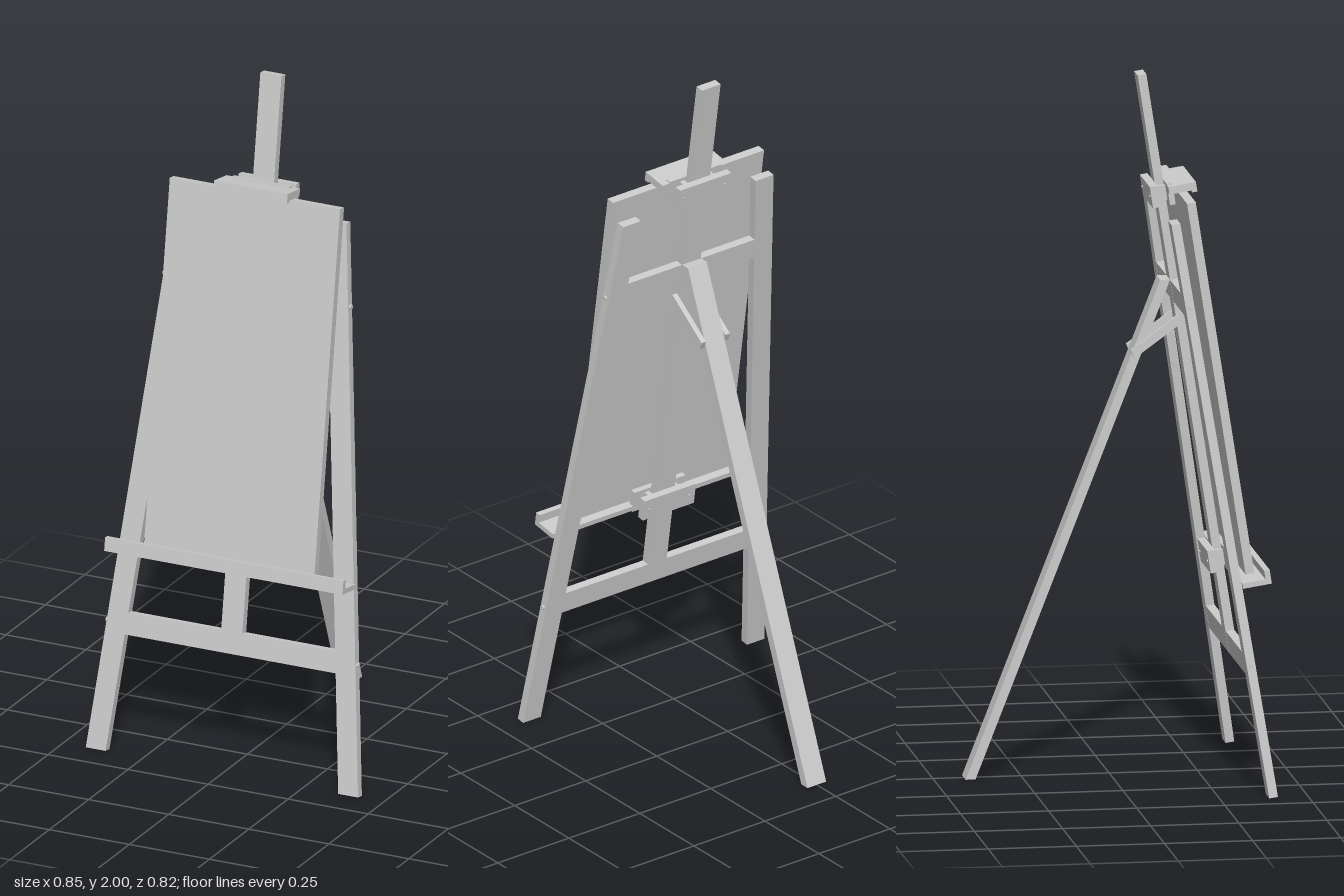
import * as THREE from 'three';

const material = new THREE.MeshStandardMaterial({ color: 0xcccccc, flatShading: true });
const THICK = 0.025; // timber thickness
const TILT = Math.atan(0.156); // backward lean of the front frame

function add(parent, name, geometry, x = 0, y = 0, z = 0) {
  const mesh = new THREE.Mesh(geometry, material);
  mesh.name = name;
  mesh.position.set(x, y, z);
  parent.add(mesh);
  return mesh;
}

// Box given by its extents along each axis
function block(parent, name, [x0, x1], [y0, y1], [z0, z1]) {
  return add(parent, name, new THREE.BoxGeometry(x1 - x0, y1 - y0, z1 - z0),
    (x0 + x1) / 2, (y0 + y1) / 2, (z0 + z1) / 2);
}

// Flat outline extruded symmetrically about z = 0
function slab(points, depth) {
  const shape = new THREE.Shape(points.map(([x, y]) => new THREE.Vector2(x, y)));
  return new THREE.ExtrudeGeometry(shape, { depth, bevelEnabled: false }).translate(0, 0, -depth / 2);
}

// Side outline given as [z, y], extruded along x
function sideSlab(points, width) {
  return slab(points.map(([z, y]) => [-z, y]), width).rotateY(Math.PI / 2);
}

// Sliding clamp that grips the mast between two plates
function mastClamp(parent, name, y0, y1) {
  const clamp = new THREE.Group();
  clamp.name = name;
  block(clamp, 'clampBackPlate', [-0.09, 0.09], [y0, y1], [-0.035, -0.0135]);
  block(clamp, 'clampFrontPlate', [-0.09, 0.09], [y0, y1], [0.0135, 0.03]);
  for (const s of [-1, 1]) {
    block(clamp, 'clampSpacer', [s * 0.046 - 0.008, s * 0.046 + 0.008], [y0 + 0.01, y1 - 0.01], [-0.014, 0.014]);
    const bolt = add(clamp, 'clampBolt', new THREE.CylinderGeometry(0.004, 0.004, 0.004, 10),
      s * 0.07, (y0 + y1) / 2, -0.036);
    bolt.rotation.x = Math.PI / 2;
  }
  parent.add(clamp);
}

export function createModel() {
  const easel = new THREE.Group();
  easel.name = 'easel';

  // Leaning front frame, built upright and tilted back
  const frame = new THREE.Group();
  frame.name = 'frontFrame';
  frame.position.set(0, 0.002, 0.4);
  frame.rotation.x = -TILT;
  easel.add(frame);

  const legTop = 1.635;
  const outer = (y) => 0.425 - 0.16 * y / legTop;
  const inner = (y) => 0.363 - 0.161 * y / legTop;
  for (const s of [-1, 1]) {
    const outline = [[inner(0), 0], [outer(0), 0], [outer(legTop), legTop], [inner(legTop), legTop]];
    add(frame, s > 0 ? 'leftLeg' : 'rightLeg', slab(outline.map(([x, y]) => [s * x, y]), THICK));
    // Screw heads where the rails meet the legs
    for (const y of [0.374, 1.395]) {
      const screw = add(frame, 'railScrew', new THREE.CylinderGeometry(0.007, 0.007, 0.012, 10), s * outer(y), y, 0);
      screw.rotation.z = Math.PI / 2;
    }
  }

  // Rails between the legs
  for (const [name, y0, y1] of [['lowerRail', 0.343, 0.407], ['upperRail', 1.365, 1.428]]) {
    add(frame, name, slab([[-inner(y0), y0], [inner(y0), y0], [inner(y1), y1], [-inner(y1), y1]], THICK - 0.001));
  }
  block(frame, 'mast', [-0.033, 0.033], [0.345, 2.022], [-THICK / 2, THICK / 2]);

  // Canvas board with tray below and holder above
  block(frame, 'canvas', [-0.265, 0.267], [0.609, 1.687], [0.04, 0.065]);
  block(frame, 'trayShelf', [-0.372, 0.372], [0.594, 0.609], [0.014, 0.095]);
  block(frame, 'trayLip', [-0.372, 0.372], [0.594, 0.634], [0.08, 0.096]);
  mastClamp(frame, 'trayClamp', 0.59, 0.655);
  block(frame, 'topHolder', [-0.115, 0.115], [1.688, 1.71], [0.0135, 0.092]);
  block(frame, 'topHolderLip', [-0.115, 0.115], [1.682, 1.71], [0.078, 0.093]);
  mastClamp(frame, 'topClamp', 1.652, 1.714);

  // Rear leg with level-cut ends
  add(easel, 'rearLeg', sideSlab([[-0.412, 0], [-0.384, 0], [0.168, 1.412], [0.14, 1.412]], 0.066));

  // Pair of braces tying the rear leg to the mast
  for (const s of [-1, 1]) {
    const brace = add(easel, 'rearBrace',
      sideSlab([[0.064, 1.193], [0.195, 1.288], [0.19, 1.314], [0.055, 1.216]], 0.016));
    brace.position.x = s * 0.042;
  }

  return easel;
}
